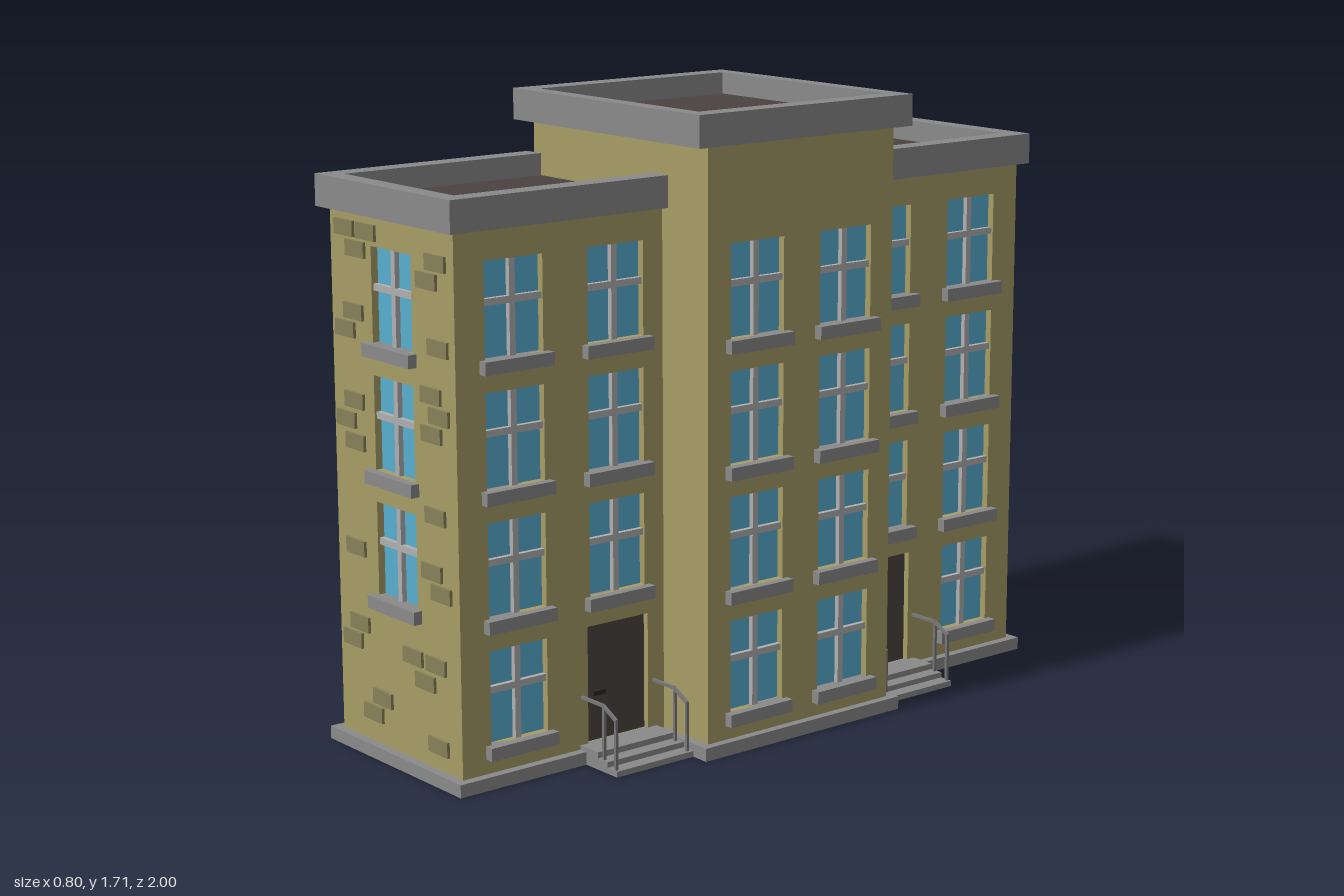
import * as THREE from 'three';

const mat = (color) => new THREE.MeshStandardMaterial({ color, flatShading: true, side: THREE.DoubleSide });
const M = {
  wall: mat(0xa89d67), brick: mat(0x87825a), stone: mat(0x8a8a8a), frame: mat(0xb0b0b0),
  glass: mat(0x58aed0), dark: mat(0x4a4340), handle: mat(0x2a2625), rail: mat(0x77777a),
};
const T = 0.025; // wall thickness, also the depth of the window recesses

function add(parent, name, geometry, material) {
  const mesh = new THREE.Mesh(geometry, material);
  mesh.name = name;
  parent.add(mesh);
  return mesh;
}

// Box given by its limits
function box(parent, name, material, x0, x1, y0, y1, z0, z1) {
  const g = new THREE.BoxGeometry(x1 - x0, y1 - y0, Math.abs(z1 - z0));
  g.translate((x0 + x1) / 2, (y0 + y1) / 2, (z0 + z1) / 2);
  return add(parent, name, g, material);
}

const rect = (x0, x1, y0, y1) => [[x0, y0], [x1, y0], [x1, y1], [x0, y1]];
const vectors = (pts) => pts.map(([x, y]) => new THREE.Vector2(x, y));

function extrude(outline, holes, depth) {
  const shape = new THREE.Shape(vectors(outline));
  shape.holes = holes.map((h) => new THREE.Path(vectors(h)));
  return new THREE.ExtrudeGeometry(shape, { depth, bevelEnabled: false });
}

// Horizontal slab from an outline in x and z
function slab(parent, name, material, outline, holes, y0, y1) {
  const flip = (pts) => pts.map(([x, z]) => [x, -z]);
  const g = extrude(flip(outline), holes.map(flip), y1 - y0);
  g.rotateX(-Math.PI / 2).translate(0, y0, 0);
  return add(parent, name, g, material);
}

// Window opening for a storey (0 = ground floor), 0.18 wide
const windowAt = (u, storey) => ({ u, y: 0.11 + storey * 0.335, w: 0.18, h: 0.25 });
const doorAt = (u) => ({ u, y: 0.045, w: 0.2, h: 0.32, door: true });

function windowParts(parent, o) {
  const g = new THREE.Group();
  g.name = 'window';
  g.position.set(o.u, o.y, 0);
  box(g, 'glass', M.glass, -0.09, 0.09, 0, o.h, -T, -T + 0.005);
  box(g, 'mullion', M.frame, -0.009, 0.009, 0, o.h, -T, -0.006);
  box(g, 'crossbar', M.frame, -0.09, 0.09, 0.135, 0.153, -T, -0.006);
  box(g, 'sill', M.stone, -0.107, 0.107, -0.035, 0, -T, 0.025);
  parent.add(g);
}

function doorParts(parent, o) {
  const g = new THREE.Group();
  g.name = 'door';
  g.position.set(o.u, o.y, 0);
  box(g, 'doorLeaf', M.dark, -0.1, 0.1, 0, o.h, -T, -T + 0.008);
  box(g, 'doorHandle', M.handle, -0.076, -0.036, 0.125, 0.137, -T, -0.006);
  parent.add(g);
}

// Wall facing local +z, with openings cut through it
function wall(parent, name, u0, u1, top, openings, position, turn) {
  const g = new THREE.Group();
  g.name = name;
  const holes = openings.map((o) => rect(o.u - o.w / 2, o.u + o.w / 2, o.y, o.y + o.h));
  add(g, 'wallPanel', extrude(rect(u0, u1, 0, top), holes, T).translate(0, 0, -T), M.wall);
  openings.forEach((o) => (o.door ? doorParts : windowParts)(g, o));
  g.position.set(...position);
  g.rotation.y = turn;
  parent.add(g);
  return g;
}

// Centres of the raised bricks on an end wall
const BRICKS = [
  [-0.3, 1.4], [-0.2, 1.4], [-0.25, 1.35], [0.11, 1.36], [0.07, 1.31], [-0.265, 1.185],
  [-0.305, 1.135], [0.115, 1.145], [0.08, 1.02], [0.115, 0.97], [0.08, 0.92], [-0.27, 0.95],
  [-0.31, 0.895], [-0.27, 0.84], [0.09, 0.71], [-0.28, 0.555], [0.07, 0.56], [0.11, 0.51],
  [-0.27, 0.35], [-0.305, 0.3], [-0.025, 0.315], [0.08, 0.315], [0.03, 0.26], [-0.17, 0.165],
  [-0.215, 0.115], [0.085, 0.1],
];

// Square-section bar between two points in the x-y plane
function bar(parent, name, [x0, y0], [x1, y1], z) {
  const m = add(parent, name, new THREE.BoxGeometry(Math.hypot(x1 - x0, y1 - y0) + 0.006, 0.008, 0.008), M.rail);
  m.position.set((x0 + x1) / 2, (y0 + y1) / 2, z);
  m.rotation.z = Math.atan2(y1 - y0, x1 - x0);
}

function entrance(parent, s) {
  const g = new THREE.Group();
  g.name = 'entranceSteps';
  // Three shallow steps
  [[0.26, 0.03, 0.047], [0.3, 0.015, 0.031], [0.34, 0, 0.016]].forEach(([x, y0, y1]) =>
    box(g, 'step', M.stone, 0.175, x, y0, y1, s * 0.345, s * 0.6));
  // A handrail on each side
  for (const z of [0.357, 0.593]) {
    const path = [[0.185, 0.177], [0.275, 0.177], [0.328, 0.15]];
    bar(g, 'handrail', path[0], path[1], s * z);
    bar(g, 'handrailSlope', path[1], path[2], s * z);
    bar(g, 'railPost', [0.278, 0.03], [0.278, 0.175], s * z);
    bar(g, 'railPost', [0.328, 0.014], [0.328, 0.15], s * z);
  }
  parent.add(g);
}

function wing(parent, s) {
  const g = new THREE.Group();
  g.name = s > 0 ? 'frontWing' : 'backWing';
  const top = 1.445;
  const [u0, u1] = s > 0 ? [-0.975, -0.32] : [0.32, 0.975];

  // Street side with door, and plain rear side
  const openings = [doorAt(-s * 0.474), windowAt(-s * 0.795, 0)];
  for (const storey of [1, 2, 3]) openings.push(windowAt(-s * 0.474, storey), windowAt(-s * 0.795, storey));
  wall(g, 'streetWall', u0, u1, top, openings, [0.185, 0, 0], Math.PI / 2);
  wall(g, 'rearWall', -u1, -u0, top, [], [-0.37, 0, 0], -Math.PI / 2);

  // End wall with raised bricks
  const end = wall(g, 'endWall', -0.2775, 0.2775, top, [1, 2, 3].map((n) => windowAt(0, n)),
    [-0.0925, 0, s * 0.975], s > 0 ? 0 : Math.PI);
  for (const [x, y] of BRICKS) {
    const u = x + 0.0925;
    box(end, 'brick', M.brick, u - 0.043, u + 0.043, y - 0.021, y + 0.021, -0.005, 0.008);
  }

  // Roof with a three-sided parapet, and plinth
  slab(g, 'roof', M.dark, rect(-0.36, 0.175, s * 0.31, s * 0.96), [], 1.455, 1.47);
  const parapet = [[-0.4, 0.32], [-0.4, 1], [0.21, 1], [0.21, 0.32], [0.15, 0.32], [0.15, 0.945], [-0.34, 0.945], [-0.34, 0.32]];
  slab(g, 'parapet', M.stone, parapet.map(([x, z]) => [x, s * z]), [], top, 1.53);
  slab(g, 'plinth', M.stone, rect(-0.398, 0.21, s * 0.3, s),
    [rect(-0.345, 0.16, s * 0.345, s * 0.95)], 0, 0.035);
  entrance(g, s);
  parent.add(g);
}

function centre(parent) {
  const g = new THREE.Group();
  g.name = 'centralBlock';
  const top = 1.62;
  const openings = [];
  for (const u of [-0.153, 0.153]) for (let n = 0; n < 4; n++) openings.push(windowAt(u, n));
  wall(g, 'streetWall', -0.32, 0.32, top, openings, [0.37, 0, 0], Math.PI / 2);
  wall(g, 'rearWall', -0.32, 0.32, top, [], [-0.37, 0, 0], -Math.PI / 2);
  wall(g, 'sideWall', -0.37, 0.37, top, [], [0, 0, 0.32], 0);
  wall(g, 'sideWall', -0.37, 0.37, top, [], [0, 0, -0.32], Math.PI);

  // Roof, parapet ring and plinth ring
  slab(g, 'roof', M.dark, rect(-0.36, 0.36, -0.34, 0.34), [], 1.63, 1.645);
  slab(g, 'parapet', M.stone, rect(-0.4, 0.393, -0.366, 0.366), [rect(-0.34, 0.335, -0.32, 0.32)], top, 1.705);
  slab(g, 'plinth', M.stone, rect(-0.4, 0.393, -0.345, 0.345), [rect(-0.345, 0.345, -0.295, 0.295)], 0, 0.036);
  parent.add(g);
}

export function createModel() {
  const model = new THREE.Group();
  model.name = 'apartmentBuilding';
  centre(model);
  wing(model, 1);
  wing(model, -1);
  return model;
}
